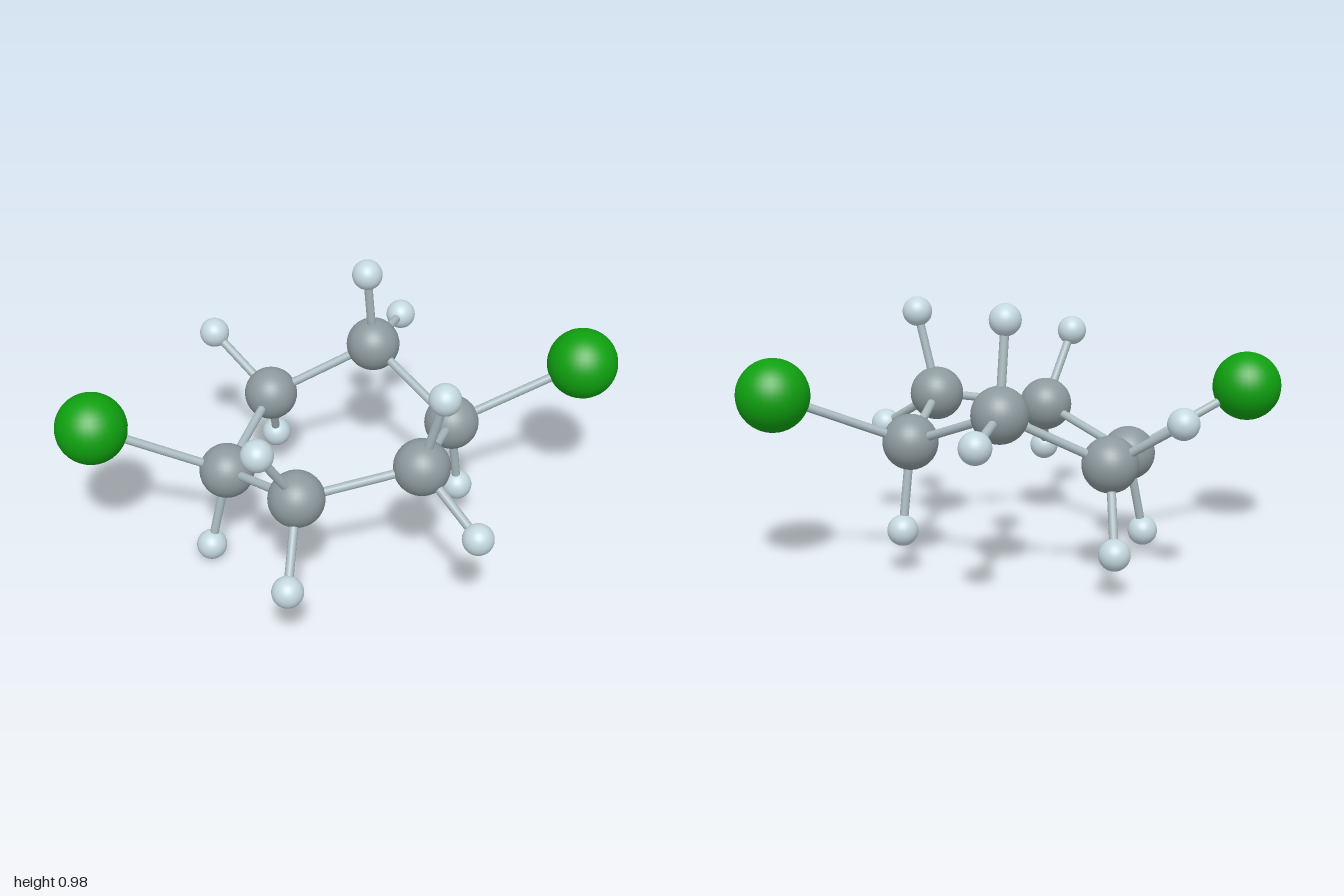
import * as THREE from 'three';

// Ball-and-stick ring: six carbons, two chlorines, ten hydrogens
const carbons = {
  left: [-0.414, 0.363, 0.003],
  frontLeft: [-0.222, 0.481, 0.373],
  frontRight: [0.206, 0.552, 0.368],
  right: [0.401, 0.468, -0.003],
  backRight: [0.18, 0.621, -0.338],
  backLeft: [-0.2, 0.43, -0.37],
};

const hydrogens = [
  ['left', [-0.483, 0.057, 0.022]],
  ['right', [0.442, 0.162, -0.038]],
  ['frontLeft', [-0.361, 0.74, 0.472]],
  ['frontLeft', [-0.289, 0.264, 0.588]],
  ['frontRight', [0.261, 0.852, 0.428]],
  ['frontRight', [0.35, 0.397, 0.593]],
  ['backLeft', [-0.382, 0.6, -0.562]],
  ['backLeft', [-0.164, 0.157, -0.513]],
  ['backRight', [0.148, 0.932, -0.3]],
  ['backRight', [0.341, 0.584, -0.599]],
];

const chlorines = [
  ['left', [-0.873, 0.586, -0.015]],
  ['right', [0.873, 0.664, 0.0]],
];

export function createModel() {
  const model = new THREE.Group();
  model.name = 'molecule';

  const mat = (color) => new THREE.MeshStandardMaterial({ color });
  const ball = (radius) => new THREE.SphereGeometry(radius, 32, 20);
  const carbon = { geo: ball(0.0975), mat: mat(0x8c999d) };
  const hydrogen = { geo: ball(0.0545), mat: mat(0xc4d8df) };
  const chlorine = { geo: ball(0.126), mat: mat(0x0fa010) };
  const bondMat = mat(0xa9babf);

  const addAtom = (name, kind, p) => {
    const atom = new THREE.Mesh(kind.geo, kind.mat);
    atom.name = name;
    atom.position.set(...p);
    model.add(atom);
  };

  // Thin rod between two atom centres
  const addBond = (name, a, b) => {
    const from = new THREE.Vector3(...a);
    const to = new THREE.Vector3(...b);
    const dir = to.clone().sub(from);
    const rod = new THREE.Mesh(
      new THREE.CylinderGeometry(0.0155, 0.0155, dir.length(), 16), bondMat);
    rod.name = name;
    rod.position.copy(from).add(to).multiplyScalar(0.5);
    rod.quaternion.setFromUnitVectors(new THREE.Vector3(0, 1, 0), dir.normalize());
    model.add(rod);
  };

  // Carbon ring, each atom joined to the next
  const ring = Object.entries(carbons);
  ring.forEach(([name, p], i) => {
    addAtom(`${name}Carbon`, carbon, p);
    addBond('ringBond', p, ring[(i + 1) % ring.length][1]);
  });

  // Atoms hanging off the ring
  for (const [parent, p] of hydrogens) {
    addAtom(`${parent}Hydrogen`, hydrogen, p);
    addBond('hydrogenBond', carbons[parent], p);
  }
  for (const [parent, p] of chlorines) {
    addAtom(`${parent}Chlorine`, chlorine, p);
    addBond('chlorineBond', carbons[parent], p);
  }
  return model;
}
